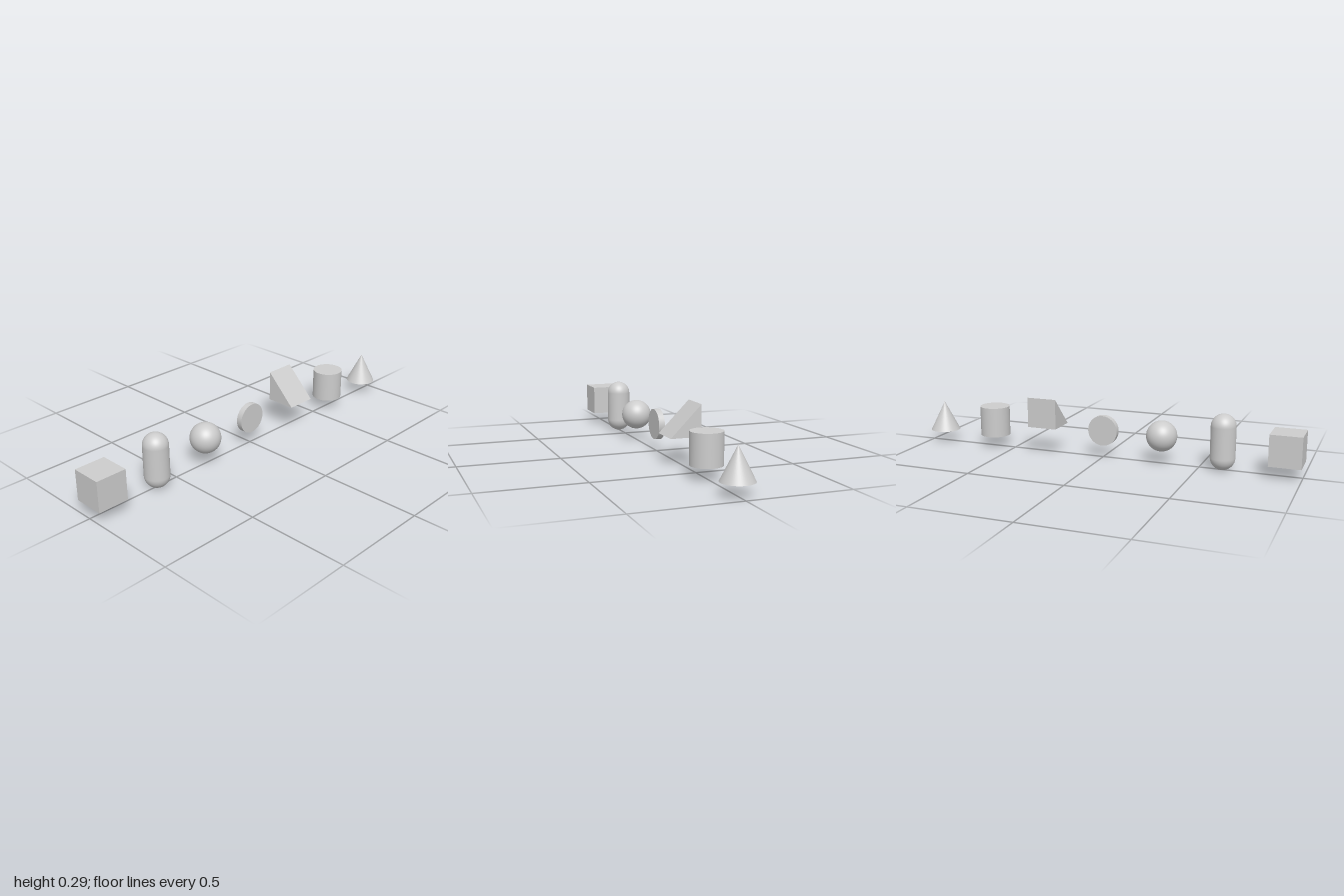
import * as THREE from 'three';

// One unit solid is 2/13 wide, and solids sit two units apart.
const U = 2 / 13;

export function createModel() {
  const group = new THREE.Group();
  const grey = new THREE.MeshStandardMaterial({ color: 0xcccccc });
  grey.name = 'light grey';

  // Right-angled ramp: tall at the back, sloping down to the front
  const profile = new THREE.Shape([
    new THREE.Vector2(0.5, 0),
    new THREE.Vector2(-0.5, 1),
    new THREE.Vector2(-0.5, 0),
  ]);
  const wedge = new THREE.ExtrudeGeometry(profile, { depth: 1, bevelEnabled: false });
  wedge.rotateY(-Math.PI / 2).translate(0.5, 0, 0);

  // Thin disc facing the front
  const disc = new THREE.CylinderGeometry(0.5, 0.5, 0.2, 48).rotateX(Math.PI / 2);

  // Row of solids from -x to +x
  const solids = [
    ['cube', new THREE.BoxGeometry(1, 1, 1)],
    ['capsule', new THREE.CapsuleGeometry(0.4, 1, 16, 48)],
    ['sphere', new THREE.SphereGeometry(0.5, 48, 32)],
    ['disc', disc],
    ['wedge', wedge],
    ['cylinder', new THREE.CylinderGeometry(0.5, 0.5, 1, 48)],
    ['cone', new THREE.ConeGeometry(0.5, 1, 48)],
  ];
  solids.forEach(([name, geometry], i) => {
    const mesh = new THREE.Mesh(geometry, grey);
    mesh.name = name;
    mesh.scale.setScalar(U);
    mesh.position.set((i - 3) * 2 * U, 0.9 * U, 0);
    group.add(mesh);
  });
  return group;
}
